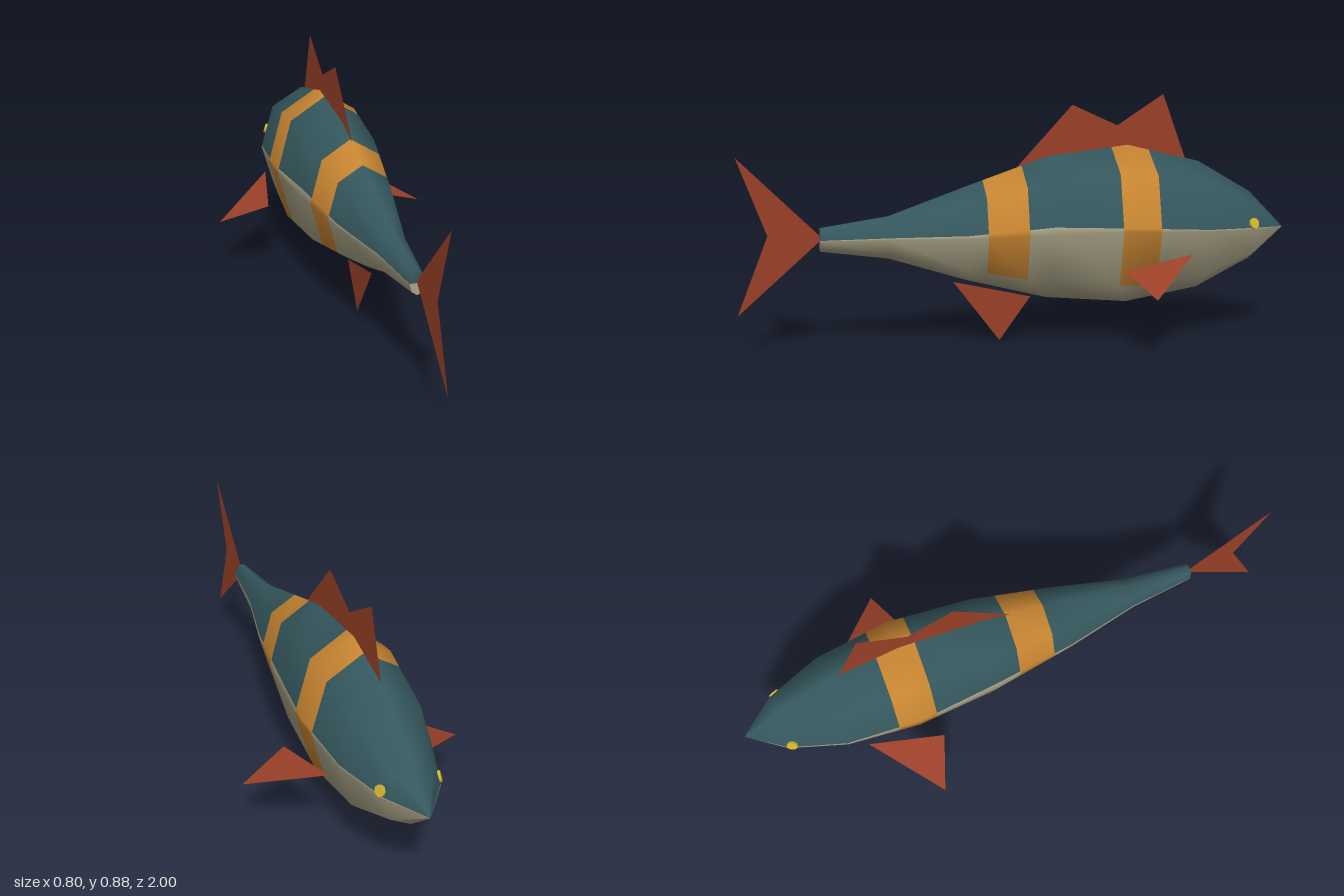
import * as THREE from 'three';

const paint = (name, color, side = THREE.FrontSide) => {
  const m = new THREE.MeshStandardMaterial({ color, side });
  m.name = name;
  return m;
};

// Body stations: z, centre y, half width, half height, height of the back/belly line
const STATIONS = [
  [-1.0, 0.385, 0.001, 0.001, 0.385],
  [-0.87, 0.395, 0.1, 0.125, 0.4],
  [-0.67, 0.404, 0.166, 0.234, 0.41],
  [-0.4, 0.415, 0.19, 0.289, 0.428],
  [-0.1, 0.412, 0.166, 0.257, 0.438],
  [0.2, 0.4, 0.115, 0.167, 0.41],
  [0.47, 0.396, 0.055, 0.076, 0.402],
  [0.71, 0.396, 0.027, 0.042, 0.397],
];
const BANDS = [[-0.48, -0.34], [-0.01, 0.132]];

// Linear blend of the stations at any z
function stationAt(z) {
  let i = 0;
  while (i < STATIONS.length - 2 && z > STATIONS[i + 1][0]) i++;
  const [a, b] = [STATIONS[i], STATIONS[i + 1]];
  const t = (z - a[0]) / (b[0] - a[0]);
  return a.map((v, k) => v + (b[k] - v) * t);
}

// Octagonal section with one extra point per side on the colour line
function ring(z) {
  const [, cy, rx, ry, line] = stationAt(z);
  const d = Math.SQRT1_2;
  const t = THREE.MathUtils.clamp((line - cy) / (ry * d), 0.02, 0.9);
  const right = [[d, d], [1 - (1 - d) * t, d * t], [1, 0], [d, -d]];
  const left = right.map(([x, y]) => [-x, y]).reverse();
  return [[0, 1], ...right, [0, -1], ...left].map(([x, y]) => [x * rx, cy + y * ry, z]);
}

function bodyGeometry() {
  const zs = [...STATIONS.map((s) => s[0]), ...BANDS.flat()].sort((a, b) => a - b);
  const faces = [[], [], []]; // back, belly, band
  const n = 10;
  for (let i = 0; i < zs.length - 1; i++) {
    const mid = (zs[i] + zs[i + 1]) / 2;
    const banded = BANDS.some(([a, b]) => mid > a && mid < b);
    for (let j = 0; j < n; j++) {
      const a = i * n + j, b = i * n + ((j + 1) % n), c = a + n, d = b + n;
      const lowest = j === 4 || j === 5;
      const part = banded && !lowest ? 2 : j >= 2 && j <= 7 ? 1 : 0;
      faces[part].push(a, c, b, b, c, d);
    }
  }
  const g = new THREE.BufferGeometry();
  g.setAttribute('position', new THREE.Float32BufferAttribute(zs.flatMap((z) => ring(z).flat()), 3));
  g.setIndex(faces.flat());
  let start = 0;
  faces.forEach((f, k) => {
    g.addGroup(start, f.length, k);
    start += f.length;
  });
  g.computeVertexNormals();
  return g;
}

// Flat fin in the middle plane, outlined by [z, y] points
function finGeometry(points) {
  const g = new THREE.ShapeGeometry(new THREE.Shape(points.map(([z, y]) => new THREE.Vector2(-z, y))));
  return g.rotateY(Math.PI / 2);
}

export function createModel() {
  const back = paint('teal back', 0x35585e);
  const belly = paint('cream belly', 0xaaa487);
  const orange = paint('orange band', 0xc98632);
  const finRed = paint('rust fin', 0x9a4028, THREE.DoubleSide);
  const yellow = paint('yellow eye', 0xd8b830);

  const fish = new THREE.Group();
  fish.name = 'fish';
  const add = (name, geometry, material) => {
    const mesh = new THREE.Mesh(geometry, material);
    mesh.name = name;
    fish.add(mesh);
    return mesh;
  };

  add('body', bodyGeometry(), [back, belly, orange]);

  // Flat end of the tail stem, in two colours
  const end = ring(0.71).map(([x, y]) => new THREE.Vector2(x, y));
  const cap = (ids) => new THREE.ShapeGeometry(new THREE.Shape(ids.map((i) => end[i]))).translate(0, 0, 0.71);
  add('tailStemEndUpper', cap([8, 9, 0, 1, 2]), back);
  add('tailStemEndLower', cap([2, 3, 4, 5, 6, 7, 8]), belly);

  // Middle fins
  add('dorsalFin', finGeometry([[0.01, 0.63], [-0.195, 0.852], [-0.362, 0.775], [-0.532, 0.885],
    [-0.62, 0.645], [-0.4, 0.68], [-0.1, 0.65]]), finRed);
  add('tailFin', finGeometry([[0.7, 0.4], [0.993, 0.692], [0.89, 0.415], [1.0, 0.135]]), finRed);
  add('analFin', finGeometry([[0.24, 0.226], [0.072, 0.003], [-0.042, 0.16]]), finRed);

  // Paired fins and eyes
  for (const [side, s] of [['left', 1], ['right', -1]]) {
    const g = new THREE.BufferGeometry().setFromPoints([
      new THREE.Vector3(s * 0.17, 0.325, -0.6),
      new THREE.Vector3(s * 0.4, 0.216, -0.4),
      new THREE.Vector3(s * 0.225, 0.285, -0.335),
    ]);
    g.setIndex(s > 0 ? [0, 2, 1] : [0, 1, 2]);
    g.computeVertexNormals();
    add(side + 'PectoralFin', g, finRed);

    const eye = add(side + 'Eye', new THREE.CylinderGeometry(0.02, 0.02, 0.009, 10), yellow);
    eye.position.set(s * 0.103, 0.417, -0.853);
    eye.quaternion.setFromUnitVectors(new THREE.Vector3(0, 1, 0),
      new THREE.Vector3(s * 0.88, 0.28, -0.36).normalize());
  }
  return fish;
}
